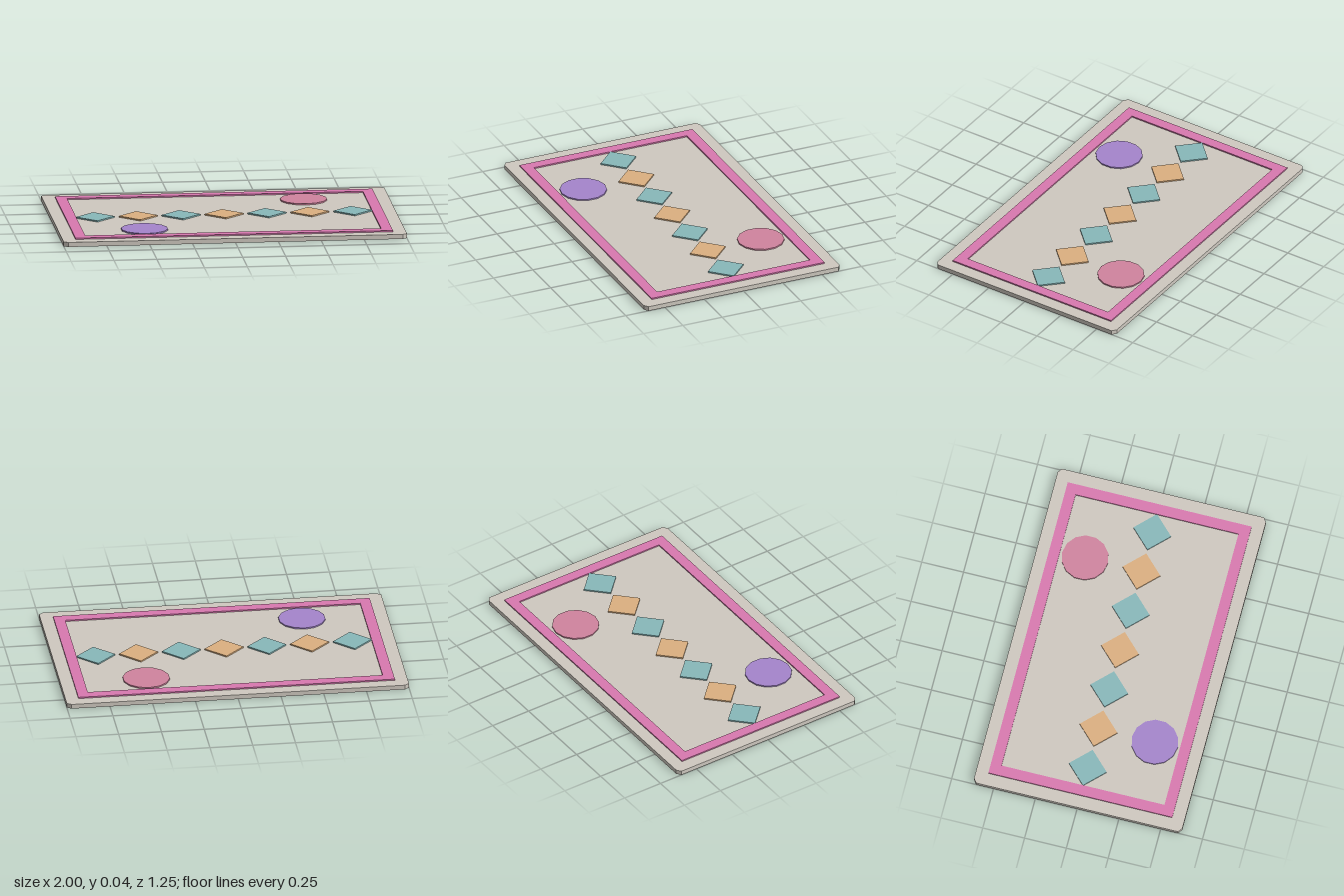
import * as THREE from 'three';

const BASE_TOP = 0.027;
const INLAY_TOP = 0.035;

function addPart(group, name, geometry, color, x = 0, y = 0, z = 0) {
  const material = new THREE.MeshStandardMaterial({ color, flatShading: true });
  const mesh = new THREE.Mesh(geometry, material);
  mesh.name = name;
  mesh.position.set(x, y, z);
  group.add(mesh);
  return mesh;
}

// Extrudes a plan outline upward from the ground plane
function slab(shape, height) {
  const geometry = new THREE.ExtrudeGeometry(shape, { depth: height, bevelEnabled: false });
  return geometry.rotateX(-Math.PI / 2);
}

// Rectangle outline with clipped corners (cx, cz = 0 gives plain corners)
function rectPoints(hx, hz, cx = 0, cz = 0) {
  const corners = [[1, 1], [-1, 1], [-1, -1], [1, -1]];
  return corners.flatMap(([sx, sz]) => {
    const onSide = new THREE.Vector2(sx * hx, sz * (hz - cz));
    const onEnd = new THREE.Vector2(sx * (hx - cx), sz * hz);
    if (cx === 0) return [onSide];
    return sx * sz > 0 ? [onSide, onEnd] : [onEnd, onSide];
  });
}

export function createModel() {
  const group = new THREE.Group();
  group.name = 'patternedRug';
  const thickness = INLAY_TOP - BASE_TOP;

  // Base mat with clipped corners
  addPart(group, 'baseMat', slab(new THREE.Shape(rectPoints(1, 0.623, 0.026, 0.019)), BASE_TOP), 0xcfc9c0);

  // Rectangular border band
  const border = new THREE.Shape(rectPoints(0.925, 0.55));
  border.holes.push(new THREE.Path(rectPoints(0.862, 0.487).reverse()));
  addPart(group, 'border', slab(border, thickness), 0xd979b0, 0, BASE_TOP, 0);

  // Row of diamonds in alternating colours
  const side = 0.113 * Math.SQRT2;
  for (let i = 0; i < 7; i++) {
    const geometry = new THREE.BoxGeometry(side, thickness, side).rotateY(Math.PI / 4);
    const color = i % 2 ? 0xdcb080 : 0x88b8ba;
    addPart(group, `diamond${i + 1}`, geometry, color, (i - 3) * 0.25, BASE_TOP + thickness / 2, 0);
  }

  // Two round medallions on opposite corners
  const medallions = [['backMedallion', 0xd0849f, 1], ['frontMedallion', 0xa585cc, -1]];
  for (const [name, color, s] of medallions) {
    const disc = new THREE.CylinderGeometry(0.137, 0.137, thickness, 14);
    addPart(group, name, disc, color, s * 0.5, BASE_TOP + thickness / 2, s * -0.337);
  }

  return group;
}
